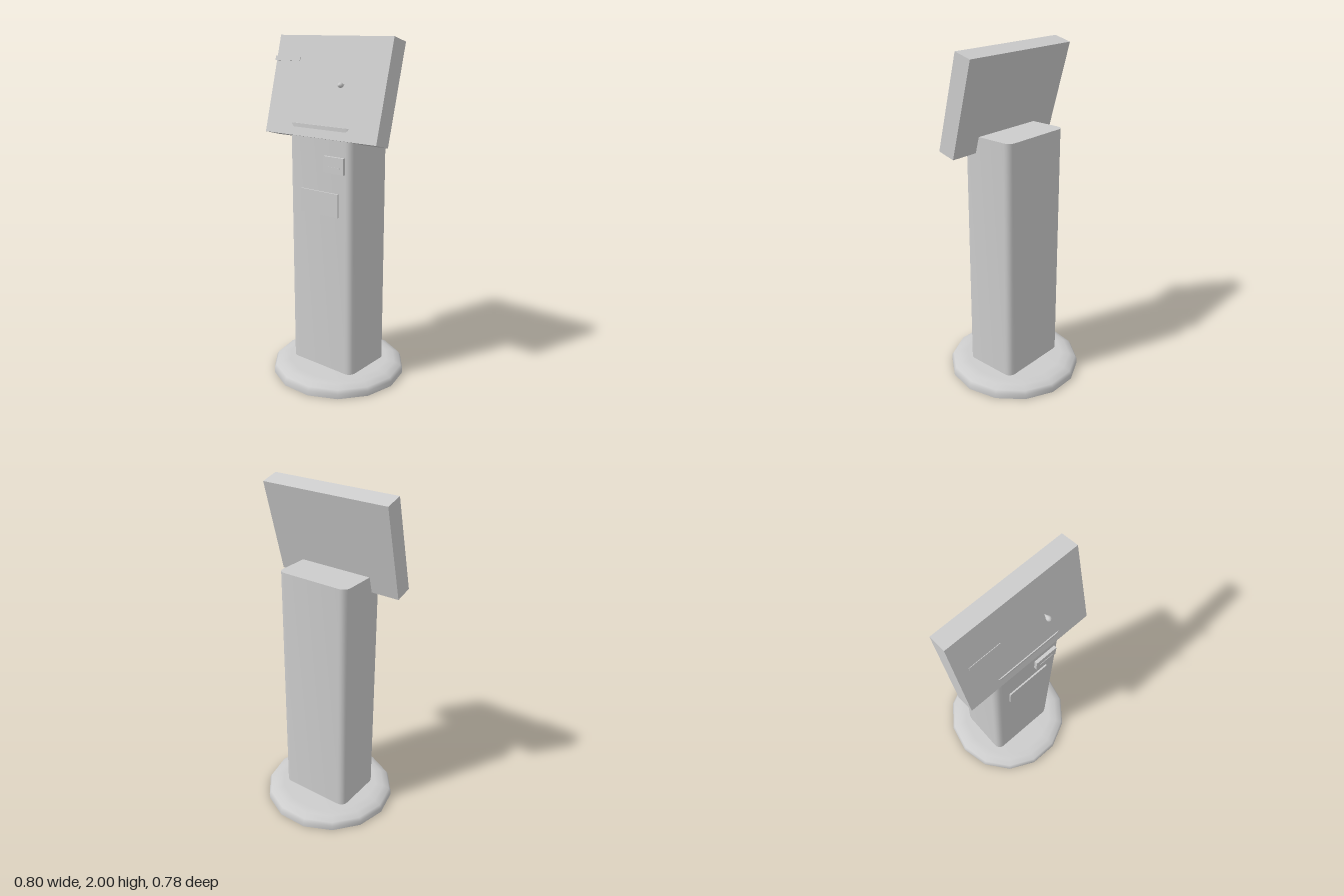
import * as THREE from 'three';
import { toCreasedNormals } from 'three/addons/utils/BufferGeometryUtils.js';

const TILT = -THREE.MathUtils.degToRad(15);

export function createModel() {
  const group = new THREE.Group();
  group.name = 'kiosk';
  const grey = new THREE.MeshStandardMaterial({ color: 0xcccccc });
  grey.name = 'light grey';

  function add(name, geometry, x = 0, y = 0, z = 0, parent = group) {
    const mesh = new THREE.Mesh(geometry, grey);
    mesh.name = name;
    mesh.position.set(x, y, z);
    parent.add(mesh);
    return mesh;
  }

  // Round foot with fourteen sides and a softened upper rim
  const rim = [[0.4, 0], [0.4, 0.03], [0.388, 0.05], [0.35, 0.067], [0.3, 0.075], [0, 0.077]]
    .map(([r, y]) => new THREE.Vector2(r, y));
  add('footRim', new THREE.LatheGeometry(rim, 14, Math.PI / 2));
  add('footUnderside', new THREE.CircleGeometry(0.4, 14)).rotation.x = Math.PI / 2;

  // Column with rounded vertical corners
  const w = 0.227, d = 0.171, r = 0.042;
  const outline = new THREE.Shape();
  outline.absarc(w - r, d - r, r, 0, Math.PI / 2);
  outline.absarc(r - w, d - r, r, Math.PI / 2, Math.PI);
  outline.absarc(r - w, r - d, r, Math.PI, Math.PI * 1.5);
  outline.absarc(w - r, r - d, r, Math.PI * 1.5, Math.PI * 2);
  const column = new THREE.ExtrudeGeometry(outline, { depth: 1.455, bevelEnabled: false, curveSegments: 2 });
  column.rotateX(-Math.PI / 2);
  add('column', toCreasedNormals(column, Math.PI / 3), 0, 0.068, 0);

  // Tilted screen with two faint round discs on its face
  const screen = new THREE.Group();
  screen.name = 'screen';
  screen.position.set(0, 1.7125, 0.058);
  screen.rotation.x = TILT;
  group.add(screen);
  add('screenHousing', new THREE.BoxGeometry(0.795, 0.562, 0.109), 0, 0, 0, screen);
  add('largeDisc', new THREE.CircleGeometry(0.215, 24), 0, 0.012, 0.0552, screen);
  add('smallDisc', new THREE.CircleGeometry(0.04, 16), 0, 0.012, 0.056, screen);

  // Slim bar and drop-shaped knob standing in front of the screen
  add('bar', new THREE.BoxGeometry(0.185, 0.026, 0.003), -0.253, 1.873, 0.138).rotation.x = TILT;
  const drop = [[0, 0], [0.006, 0.014], [0.014, 0.028], [0.015, 0.037], [0.011, 0.046], [0, 0.051]]
    .map(([a, b]) => new THREE.Vector2(a, b));
  add('knob', new THREE.LatheGeometry(drop, 12), 0.135, 1.746, 0.115).rotation.x = Math.PI / 2;

  // Card reader with slot, and the thin panel below it
  add('cardReader', new THREE.BoxGeometry(0.14, 0.092, 0.022), 0.114, 1.316, 0.178);
  add('cardSlot', new THREE.BoxGeometry(0.09, 0.005, 0.003), 0.114, 1.305, 0.1895);
  add('servicePanel', new THREE.BoxGeometry(0.27, 0.135, 0.012), 0.003, 1.088, 0.174);

  return group;
}
